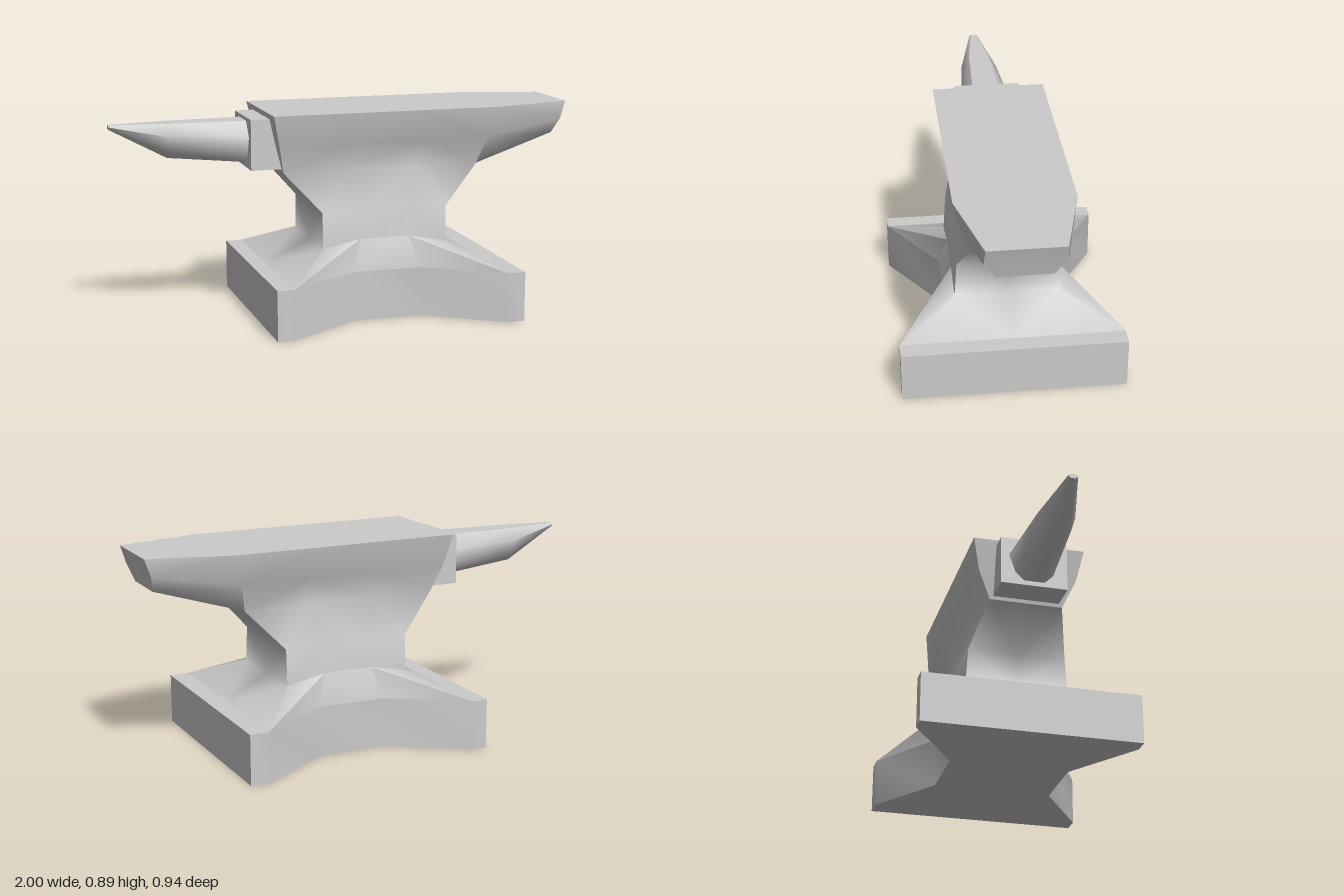
import * as THREE from 'three';
import { mergeGeometries, toCreasedNormals } from 'three/addons/utils/BufferGeometryUtils.js';

const material = new THREE.MeshStandardMaterial({ color: 0xcccccc });

// Skin a grid of points (rows go up, columns go right) and mirror it to the back.
function mirroredSkin(grids, crease) {
  const pos = [];
  const tri = (a, b, c) => {
    pos.push(...a, ...b, ...c);
    for (const [x, y, z] of [a, c, b]) pos.push(x, y, -z);
  };
  for (const rows of grids) {
    const cells = rows[0].length - 1;
    for (let j = 0; j < rows.length - 1; j++) {
      for (let i = 0; i < cells; i++) {
        const a = rows[j][i], b = rows[j][i + 1], c = rows[j + 1][i + 1], d = rows[j + 1][i];
        if (i * 2 < cells) { tri(a, b, c); tri(a, c, d); }
        else { tri(a, b, d); tri(b, c, d); }
      }
    }
  }
  const g = new THREE.BufferGeometry();
  g.setAttribute('position', new THREE.Float32BufferAttribute(pos, 3));
  return toCreasedNormals(g, crease);
}

const mid = ([x, y]) => [x, y, 0]; // same point on the centre plane
const closeEnds = (row) => [mid(row[0]), ...row, mid(row[row.length - 1])];
const leftCap = (rows) => rows.map((r) => [mid(r[0]), r[0]]);
const rightCap = (rows) => rows.map((r) => [r[r.length - 1], mid(r[r.length - 1])]);
const topCap = (rows) => {
  const r = rows[rows.length - 1];
  return [r, r.map(mid)];
};

// Foot block with notched sides
function footGeometry() {
  const front = [[-0.4, 0.47], [-0.33, 0.47], [-0.01, 0.26], [0.29, 0.26], [0.61, 0.47], [0.69, 0.47]];
  const outline = [...front, ...front.map(([x, z]) => [x, -z]).reverse()];
  const shape = new THREE.Shape(outline.map(([x, z]) => new THREE.Vector2(x, z)));
  const g = new THREE.ExtrudeGeometry(shape, { depth: 0.215, bevelEnabled: false });
  g.rotateX(-Math.PI / 2);
  return toCreasedNormals(g, 0.8);
}

// Skirt, waist, face and heel
function bodyGeometry() {
  const waist = [
    [[-0.33, 0.215, 0.47], [-0.01, 0.215, 0.26], [0.29, 0.215, 0.26], [0.61, 0.215, 0.47]],
    [[-0.135, 0.315, 0.225], [0.03, 0.35, 0.225], [0.25, 0.35, 0.225], [0.42, 0.315, 0.225]],
    [[-0.135, 0.47, 0.215], [0.03, 0.47, 0.215], [0.25, 0.47, 0.215], [0.42, 0.47, 0.215]],
    [[-0.29, 0.64, 0.16], [0, 0.64, 0.16], [0.3, 0.64, 0.16], [0.58, 0.64, 0.16]],
  ];
  const head = [
    [...waist[3], [0.955, 0.75, 0.11]],
    [[-0.32, 0.76, 0.215], [0, 0.76, 0.215], [0.3, 0.76, 0.215], [0.61, 0.76, 0.215], [0.975, 0.82, 0.16]],
    [[-0.35, 0.895, 0.245], [0, 0.895, 0.245], [0.3, 0.895, 0.245], [0.64, 0.895, 0.245], [1, 0.895, 0.155]],
  ];
  const heelRoot = head[0][3], heelTip = head[0][4];
  const underside = [[heelRoot, mid(heelRoot)], [heelTip, mid(heelTip)]];
  return mergeGeometries([
    mirroredSkin([waist.map(closeEnds), head, underside], 1.12),
    mirroredSkin([leftCap(head), rightCap(head), topCap(head)], 0.4),
  ]);
}

// Tapering horn with a flat top
function hornGeometry() {
  // x, bottom, height, half width for tip, middle and root
  const stations = [[-1, 0.835, 0.018, 0.02], [-0.76, 0.708, 0.146, 0.08], [-0.42, 0.675, 0.18, 0.11]];
  const profile = [[0, 0], [0, 0.4], [0.2, 0.75], [0.64, 1], [1, 0.55]]; // height and width fractions
  const rows = profile.map(([h, w]) => stations.map(([x, y, sy, sz]) => [x, y + h * sy, w * sz]));
  return mergeGeometries([
    mirroredSkin([rows], 1.1),
    mirroredSkin([topCap(rows), leftCap(rows)], 0.4),
  ]);
}

export function createModel() {
  const model = new THREE.Group();
  model.name = 'anvil';
  const add = (name, geometry) => {
    const mesh = new THREE.Mesh(geometry, material);
    mesh.name = name;
    model.add(mesh);
    return mesh;
  };
  add('foot', footGeometry());
  add('waistAndHead', bodyGeometry());
  add('hornCollar', new THREE.BoxGeometry(0.155, 0.215, 0.29)).position.set(-0.3475, 0.7625, 0);
  add('horn', hornGeometry());
  return model;
}
